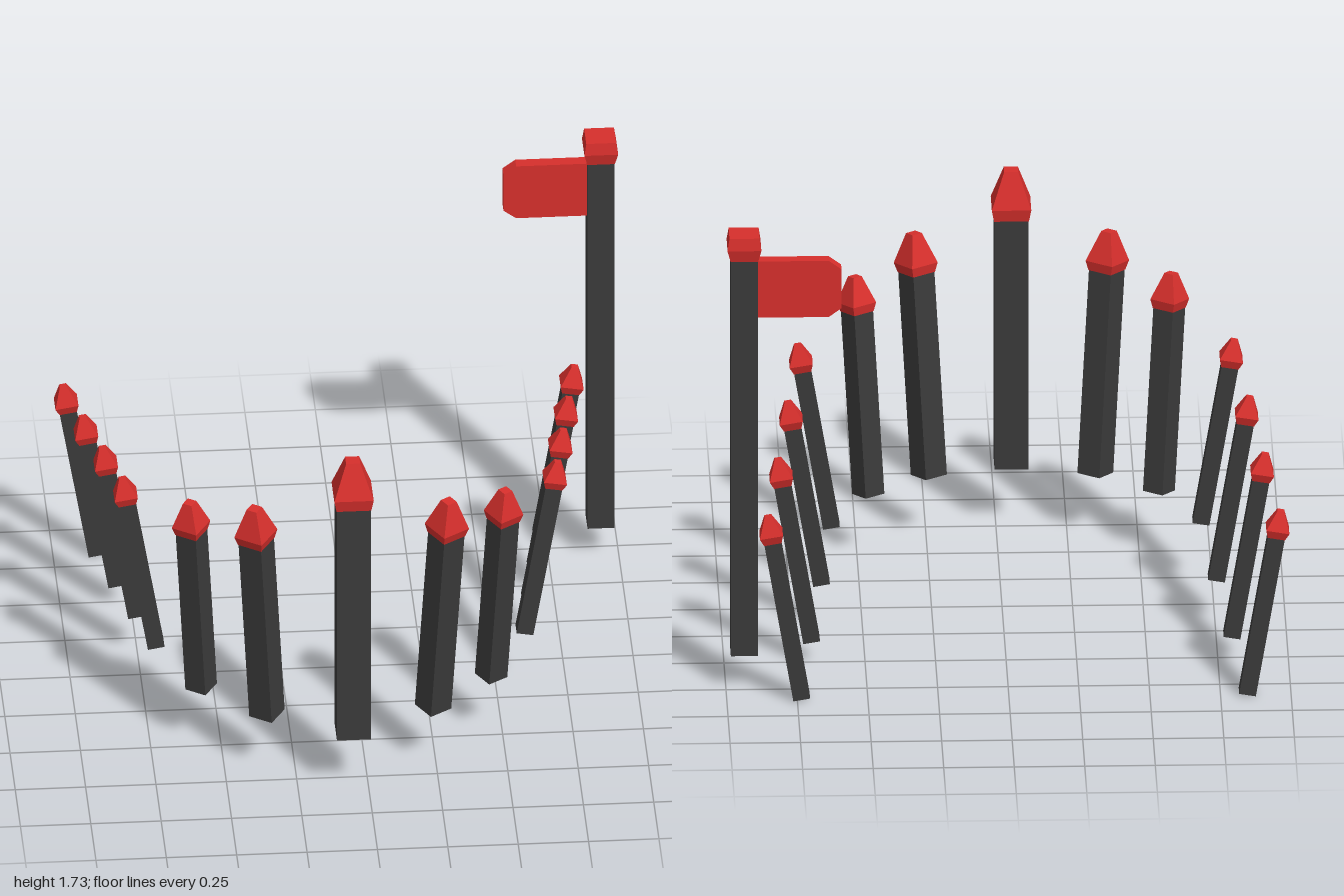
import * as THREE from 'three';

const dark = new THREE.MeshStandardMaterial({ color: 0x3a3a3a, flatShading: true });
const red = new THREE.MeshStandardMaterial({ color: 0xd62f2c, flatShading: true });

// Square cap: rings of [width, height], closed at both ends
function capGeometry(rings) {
  const points = rings.map(([w, y]) => new THREE.Vector2(w * Math.SQRT1_2, y));
  points.unshift(new THREE.Vector2(0, rings[0][1]));
  points.push(new THREE.Vector2(0, rings[rings.length - 1][1]));
  return new THREE.LatheGeometry(points, 4, Math.PI / 4);
}

// Square post standing on its own origin, with a cap on top
function makePost(name, width, height, capRings) {
  const group = new THREE.Group();
  group.name = name;
  const shaft = new THREE.Mesh(new THREE.BoxGeometry(width, height, width).translate(0, height / 2, 0), dark);
  shaft.name = 'shaft';
  const cap = new THREE.Mesh(capGeometry(capRings), red);
  cap.name = 'cap';
  cap.position.y = height;
  group.add(shaft, cap);
  return group;
}

// Pointed fence post; cap measures are [widest, tip width, flare height, tip height]
function fencePost(name, width, height, [wide, tip, flare, top]) {
  return makePost(name, width, height, [[width * 1.03, 0], [wide, flare], [tip, top]]);
}

export function createModel() {
  const model = new THREE.Group();
  const fence = new THREE.Group();
  fence.name = 'fence';
  fence.position.x = -0.055;
  model.add(fence);

  // Large upright post in the middle of the front
  const centre = fencePost('centrePost', 0.12, 0.95, [0.14, 0.05, 0.045, 0.175]);
  centre.position.set(0, 0.22, 0.80);
  fence.add(centre);

  for (const side of [1, -1]) {
    const place = (post, x, y, z, heading, lean) => {
      post.position.set(side * x, y, z);
      post.rotation.set(lean, side * heading, 0, 'YXZ');
      fence.add(post);
    };
    // Two turned posts on the front curve, leaning outward
    place(fencePost('innerCurvePost', 0.092, 0.755, [0.112, 0.04, 0.035, 0.145]), 0.295, 0.232, 0.672, 0.6, 0.1);
    place(fencePost('outerCurvePost', 0.082, 0.68, [0.1, 0.035, 0.033, 0.13]), 0.515, 0.238, 0.485, 0.6, 0.1);
    // Row of thin posts stepping down toward the back
    for (let i = 0; i < 4; i++) {
      place(fencePost('sidePost', 0.06, 0.605, [0.083, 0.024, 0.03, 0.1]),
        0.655 + i * 0.045, 0.24 - i * 0.0783, 0.19 - i * 0.342, Math.PI / 2, 0.17);
    }
  }

  // Tall sign post
  const sign = makePost('signPost', 0.096, 1.51, [[0.098, 0], [0.12, 0.045], [0.106, 0.09]]);
  sign.position.set(0.935, 0.13, -0.707);
  model.add(sign);

  // Board with clipped outer corners
  const outline = [[0.9, 1.415], [0.9, 1.63], [0.635, 1.63], [0.59, 1.597], [0.59, 1.448], [0.635, 1.415]];
  const shape = new THREE.Shape(outline.map(([x, y]) => new THREE.Vector2(x, y)));
  const board = new THREE.Mesh(new THREE.ExtrudeGeometry(shape, { depth: 0.046, bevelEnabled: false }), red);
  board.name = 'signBoard';
  board.position.z = -0.73;
  model.add(board);

  return model;
}
